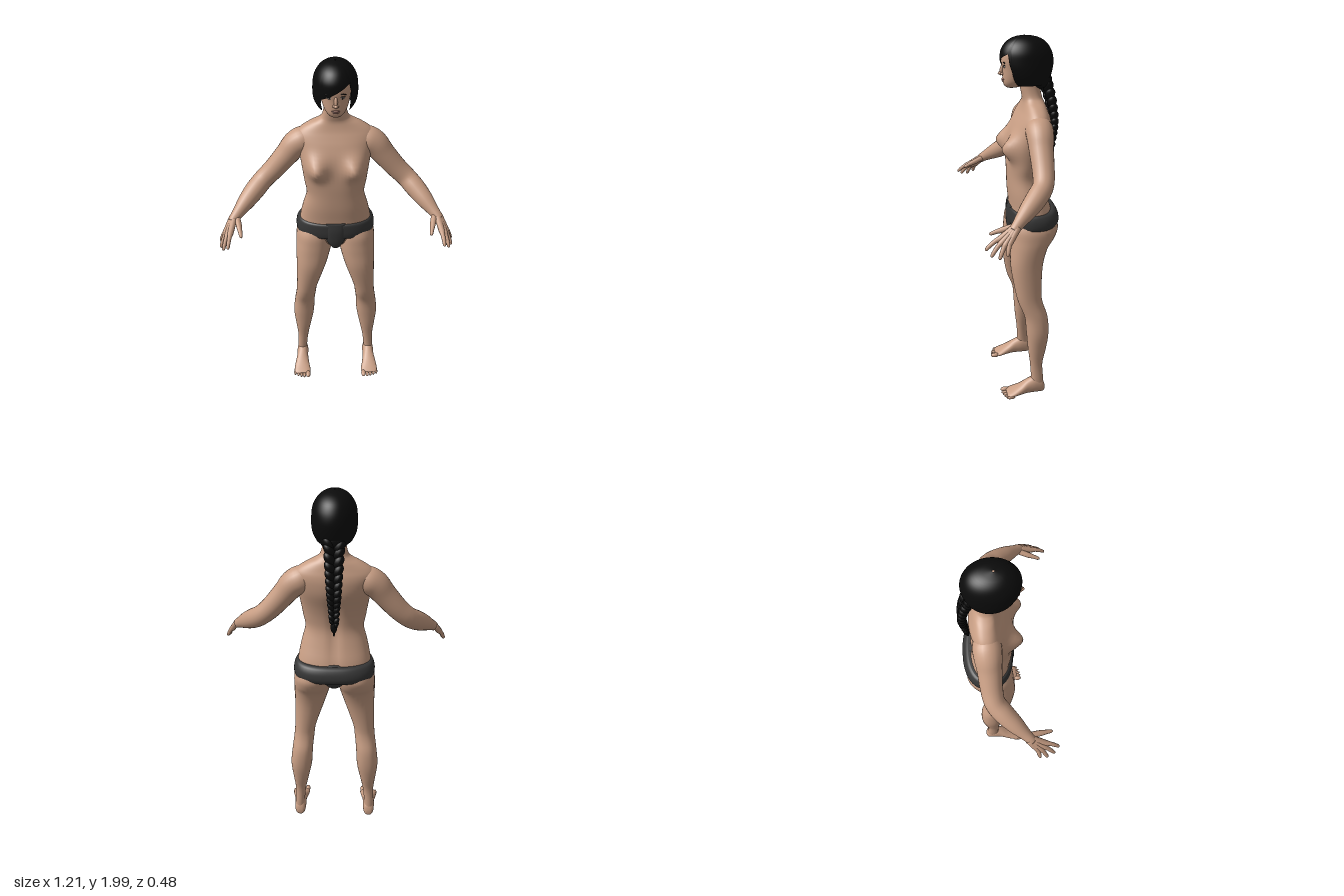
import * as THREE from 'three';
import { mergeGeometries } from 'three/addons/utils/BufferGeometryUtils.js';

const mat = (name, color, side = THREE.FrontSide) => {
  const m = new THREE.MeshStandardMaterial({ color, side });
  m.name = name;
  return m;
};

// Smooth interpolation of rows of numbers, `steps` samples per span.
function smoothRows(rows, steps = 4) {
  const out = [];
  const at = (i) => rows[Math.min(rows.length - 1, Math.max(0, i))];
  for (let i = 0; i < rows.length - 1; i++) {
    const [a, b, c, d] = [at(i - 1), at(i), at(i + 1), at(i + 2)];
    for (let k = 0; k < steps; k++) {
      const t = k / steps;
      out.push(b.map((v, j) => {
        const cubic = 3 * (v - c[j]) + d[j] - a[j];
        const square = 2 * a[j] - 5 * v + 4 * c[j] - d[j];
        return v + 0.5 * t * (c[j] - a[j] + t * (square + t * cubic));
      }));
    }
  }
  out.push(at(rows.length - 1));
  return out;
}

// Skin over a list of closed rings, with optional end caps.
function skinRings(rings, capped = true) {
  const n = rings[0].length, last = rings.length - 1;
  const pts = rings.flat(), index = [];
  for (let r = 0; r < last; r++) {
    for (let i = 0; i < n; i++) {
      const a = r * n + i, b = r * n + (i + 1) % n;
      index.push(a, b, a + n, b, b + n, a + n);
    }
  }
  if (capped) {
    for (const [r, flip] of [[0, true], [last, false]]) {
      const centre = rings[r].reduce((s, p) => s.add(p), new THREE.Vector3()).divideScalar(n);
      pts.push(centre);
      for (let i = 0; i < n; i++) {
        const a = r * n + i, b = r * n + (i + 1) % n, c = pts.length - 1;
        index.push(...(flip ? [b, a, c] : [a, b, c]));
      }
    }
  }
  const g = new THREE.BufferGeometry().setFromPoints(pts);
  g.setIndex(index);
  g.computeVertexNormals();
  return g;
}

// Level cross-sections: rows are [y, centre x, half width, front z, back z].
function loft(rows, sides = 32, power = 2.2, rule = null) {
  const sq = (v) => Math.sign(v) * Math.abs(v) ** (2 / power);
  return skinRings(smoothRows(rows).map(([y, cx, rx, zf, zb]) =>
    Array.from({ length: sides }, (_, i) => {
      const a = (i / sides) * Math.PI * 2;
      const p = new THREE.Vector3(cx + rx * sq(Math.sin(a)), y, (zf + zb) / 2 + (zf - zb) / 2 * sq(Math.cos(a)));
      if (rule) rule(p, Math.cos(a));
      return p;
    })));
}

// Round limb: rows are [x, y, z, radius].
function limb(rows, sides) {
  const s = smoothRows(rows), ref = new THREE.Vector3(1, 1, 0).normalize();
  const pos = s.map((r) => new THREE.Vector3(r[0], r[1], r[2]));
  return skinRings(s.map((r, k) => {
    const t = pos[Math.min(k + 1, s.length - 1)].clone().sub(pos[Math.max(k - 1, 0)]).normalize();
    const n = ref.clone().cross(t).normalize(), b = t.clone().cross(n);
    return Array.from({ length: sides }, (_, i) => {
      const a = (i / sides) * Math.PI * 2;
      return pos[k].clone().addScaledVector(n, r[3] * Math.cos(a)).addScaledVector(b, r[3] * Math.sin(a));
    });
  }));
}

function ball(x, y, z, rx, ry, rz, tilt = 0, pitch = 0) {
  const g = new THREE.SphereGeometry(1, 16, 12).scale(rx, ry, rz);
  g.deleteAttribute('uv');
  return g.rotateX(pitch).rotateZ(tilt).translate(x, y, z);
}

function mirror(g) {
  const m = g.clone().scale(-1, 1, 1), ix = m.index;
  for (let i = 0; i < ix.count; i += 3) {
    const a = ix.getX(i);
    ix.setX(i, ix.getX(i + 1));
    ix.setX(i + 1, a);
  }
  return m;
}

export function createModel() {
  const model = new THREE.Group();
  model.name = 'figure';
  const skin = mat('skin', 0xc89e84), hair = mat('black hair', 0x0b0b0b, THREE.DoubleSide);
  const cloth = mat('dark grey cloth', 0x363636), lip = mat('lip', 0xa3766a);
  const white = mat('eye white', 0xcfc6be), dark = mat('dark eye', 0x1c1512);
  const add = (name, g, m) => {
    const mesh = new THREE.Mesh(g, m);
    mesh.name = name;
    model.add(mesh);
  };
  const pair = (name, g, m) => {
    add('left ' + name, g, m);
    add('right ' + name, mirror(g), m);
  };

  // Torso and neck, with chest and spine shaped by a smooth rule
  const bump = (p, x, y, wx, wy) => Math.exp(-(((Math.abs(p.x) - x) / wx) ** 2) - ((p.y - y) / wy) ** 2);
  add('torso', loft([
    [0.96, 0, 0.1, 0, -0.15], [1.0, 0, 0.17, 0.015, -0.185], [1.06, 0, 0.195, 0.02, -0.2],
    [1.12, 0, 0.189, 0.022, -0.19], [1.2, 0, 0.172, 0.03, -0.16], [1.28, 0, 0.152, 0.033, -0.137],
    [1.35, 0, 0.162, 0.035, -0.14], [1.42, 0, 0.172, 0.032, -0.155], [1.5, 0, 0.185, 0.022, -0.18],
    [1.56, 0, 0.198, 0, -0.185], [1.6, 0, 0.2, -0.02, -0.18], [1.63, 0, 0.177, -0.035, -0.17],
    [1.66, 0, 0.13, -0.045, -0.16], [1.68, 0, 0.09, -0.048, -0.152], [1.7, 0, 0.068, -0.045, -0.145],
    [1.75, 0, 0.056, -0.035, -0.135], [1.8, 0, 0.055, -0.03, -0.13],
  ], 64, 2.3, (p, front) => {
    if (front > 0) p.z += 0.06 * bump(p, 0.1, 1.45, 0.05, 0.055) * Math.min(1, front * 3);
    else p.z += 0.012 * bump(p, 0, 1.3, 0.025, 0.25);
  }), skin);

  // Legs
  pair('leg', loft([
    [0.05, 0.207, 0.03, -0.06, -0.138], [0.1, 0.207, 0.028, -0.065, -0.135], [0.2, 0.2, 0.031, -0.06, -0.13],
    [0.3, 0.195, 0.046, -0.048, -0.15], [0.4, 0.19, 0.06, -0.04, -0.163], [0.5, 0.182, 0.058, -0.03, -0.157],
    [0.58, 0.172, 0.057, 0, -0.132], [0.65, 0.164, 0.06, 0.018, -0.125], [0.8, 0.138, 0.082, 0.04, -0.135],
    [0.9, 0.124, 0.096, 0.036, -0.162], [0.96, 0.117, 0.101, 0.032, -0.2], [1.02, 0.112, 0.1, 0.025, -0.22],
    [1.08, 0.1, 0.085, 0, -0.2],
  ]), skin);

  // Feet, lofted heel to ball: [z, x, half width, -sole, -top] turned forward
  const foot = [loft([
    [-0.144, 0.206, 0.014, -0.022, -0.05], [-0.13, 0.206, 0.029, -0.01, -0.09], [-0.09, 0.206, 0.034, -0.009, -0.115],
    [-0.045, 0.207, 0.034, -0.01, -0.098], [0, 0.209, 0.042, -0.01, -0.068], [0.04, 0.208, 0.049, -0.009, -0.046],
    [0.065, 0.207, 0.048, -0.009, -0.034], [0.078, 0.205, 0.035, -0.012, -0.026],
  ], 24).rotateX(Math.PI / 2)];
  for (let i = 0; i < 5; i++) {
    const r = i ? 0.0095 - i * 0.0003 : 0.014;
    foot.push(ball(0.172 + i * 0.019 + (i ? 0.004 : 0), 0.007 + r, 0.083 - i * i * 0.0014, r, r, 0.025));
  }
  pair('foot', mergeGeometries(foot), skin);

  // Arms
  pair('arm', limb([
    [0.11, 1.585, -0.1, 0.05], [0.16, 1.563, -0.1, 0.069], [0.205, 1.535, -0.097, 0.068], [0.25, 1.48, -0.093, 0.061],
    [0.32, 1.398, -0.088, 0.055], [0.375, 1.345, -0.075, 0.052], [0.42, 1.305, -0.035, 0.052],
    [0.465, 1.265, 0.015, 0.045], [0.505, 1.228, 0.062, 0.032], [0.527, 1.207, 0.088, 0.026], [0.535, 1.195, 0.1, 0.024],
  ], 24), skin);

  // Hands: thumb, then palm strands running into fingers, each [knuckle, tip]
  const hand = [limb([[0.512, 1.21, 0.09, 0.015], [0.5, 1.19, 0.14, 0.015], [0.492, 1.178, 0.175, 0.011],
    [0.487, 1.168, 0.198, 0.009], [0.485, 1.164, 0.207, 0.003]], 10)];
  const fingers = [
    [[0.543, 1.167, 0.162], [0.555, 1.115, 0.238]], [[0.558, 1.157, 0.155], [0.582, 1.092, 0.215]],
    [[0.568, 1.152, 0.141], [0.599, 1.083, 0.178]], [[0.57, 1.153, 0.124], [0.602, 1.098, 0.14]],
  ];
  fingers.forEach(([k, t], i) => {
    const mid = (f, r) => [...k.map((v, j) => v + (t[j] - v) * f + (j === 1 ? 0.008 * Math.sin(f * Math.PI) : 0)), r];
    hand.push(limb([[0.528 + i * 0.003, 1.21, 0.095 - i * 0.005, 0.017], [...k, 0.0155], mid(0.35, 0.0115),
      mid(0.7, 0.01), mid(0.93, 0.008), mid(1, 0.003)], 10));
  });
  pair('hand', mergeGeometries(hand), skin);

  // Briefs
  add('briefs band', loft([
    [1.012, 0, 0.192, 0.02, -0.21], [1.02, 0, 0.207, 0.03, -0.228], [1.045, 0, 0.214, 0.034, -0.238],
    [1.075, 0, 0.212, 0.033, -0.234], [1.1, 0, 0.202, 0.03, -0.22], [1.108, 0, 0.19, 0.022, -0.205],
  ], 48, 2.4), cloth);
  add('briefs gusset', loft([
    [0.938, 0, 0.012, 0.0, -0.13], [0.955, 0, 0.032, 0.025, -0.165], [0.985, 0, 0.056, 0.036, -0.2],
    [1.02, 0, 0.075, 0.04, -0.222], [1.07, 0, 0.082, 0.04, -0.225], [1.114, 0, 0.08, 0.032, -0.19],
  ], 32, 2.8), cloth);

  // Head and face
  add('head', loft([
    [1.745, 0, 0.018, 0.032, -0.02], [1.753, 0, 0.036, 0.044, -0.05], [1.772, 0, 0.052, 0.053, -0.08],
    [1.8, 0, 0.065, 0.055, -0.12], [1.84, 0, 0.074, 0.056, -0.15], [1.88, 0, 0.079, 0.06, -0.16],
    [1.92, 0, 0.08, 0.052, -0.16], [1.96, 0, 0.062, 0.02, -0.14], [1.98, 0, 0.02, -0.03, -0.09],
  ], 40), skin);
  add('nose', mergeGeometries([ball(0, 1.837, 0.058, 0.009, 0.032, 0.011, 0, -0.28),
    ball(0, 1.818, 0.066, 0.01, 0.009, 0.013), ball(0.009, 1.815, 0.058, 0.007, 0.007, 0.009),
    ball(-0.009, 1.815, 0.058, 0.007, 0.007, 0.009)]), skin);
  add('lips', mergeGeometries([ball(0, 1.788, 0.053, 0.021, 0.0045, 0.007), ball(0, 1.78, 0.052, 0.017, 0.005, 0.007)]), lip);
  pair('eye', ball(0.031, 1.855, 0.051, 0.013, 0.006, 0.004), white);
  pair('iris', ball(0.031, 1.855, 0.053, 0.0055, 0.0055, 0.0035), dark);
  pair('eyelash', ball(0.032, 1.861, 0.052, 0.015, 0.0022, 0.004), dark);
  pair('eyebrow', ball(0.034, 1.874, 0.053, 0.018, 0.003, 0.004, -0.1), dark);

  // Hair cap: dome whose hem follows a swept fringe, side locks and nape
  const dome = smoothRows([[2, 0.004, -0.05, -0.06], [1.99, 0.046, 0.0, -0.12], [1.965, 0.08, 0.04, -0.165],
    [1.925, 0.103, 0.064, -0.192], [1.88, 0.11, 0.067, -0.203], [1.84, 0.111, 0.06, -0.2],
    [1.8, 0.105, 0.045, -0.19], [1.76, 0.085, 0.02, -0.172]], 6);
  const domeAt = (y) => {
    const i = Math.max(1, dome.findIndex((r) => r[0] <= y));
    const t = (y - dome[i - 1][0]) / (dome[i][0] - dome[i - 1][0]);
    return dome[i].map((v, j) => THREE.MathUtils.lerp(dome[i - 1][j], v, t));
  };
  const hem = (a) => THREE.MathUtils.lerp(1.88 + 0.066 * Math.sin(a), 1.764, THREE.MathUtils.smoothstep(Math.abs(a), 0.66, 0.82));
  const rows = 24, cols = 96;
  add('hair cap', skinRings(Array.from({ length: rows + 1 }, (_, r) => Array.from({ length: cols }, (_, c) => {
    const a = (c / cols) * Math.PI * 2, signed = a > Math.PI ? a - Math.PI * 2 : a;
    const y = 2 - (2 - hem(signed)) * (1 - r / rows) ** 1.5;
    const [, rx, zf, zb] = domeAt(y);
    return new THREE.Vector3(rx * Math.sin(a), y, (zf + zb) / 2 + (zf - zb) / 2 * Math.cos(a));
  })), false), hair);
  add('nape hair', ball(0, 1.79, -0.13, 0.075, 0.06, 0.06), hair);

  // Braid of paired strands, tapering to a tuft
  const path = smoothRows([[1.77, -0.165], [1.66, -0.197], [1.55, -0.215], [1.46, -0.21], [1.37, -0.2]], 3);
  const strands = path.flatMap(([y, z], i) => {
    const s = 1.1 - 0.6 * (i / (path.length - 1));
    return [-1, 1].map((d) => ball(d * 0.022 * s, y + d * 0.008, z, 0.024 * s, 0.036 * s, 0.027 * s, -d * 0.55));
  });
  strands.push(ball(0, 1.345, -0.198, 0.017, 0.034, 0.014), ball(0, 1.315, -0.195, 0.006, 0.025, 0.006));
  add('braid', mergeGeometries(strands), hair);
  return model;
}
